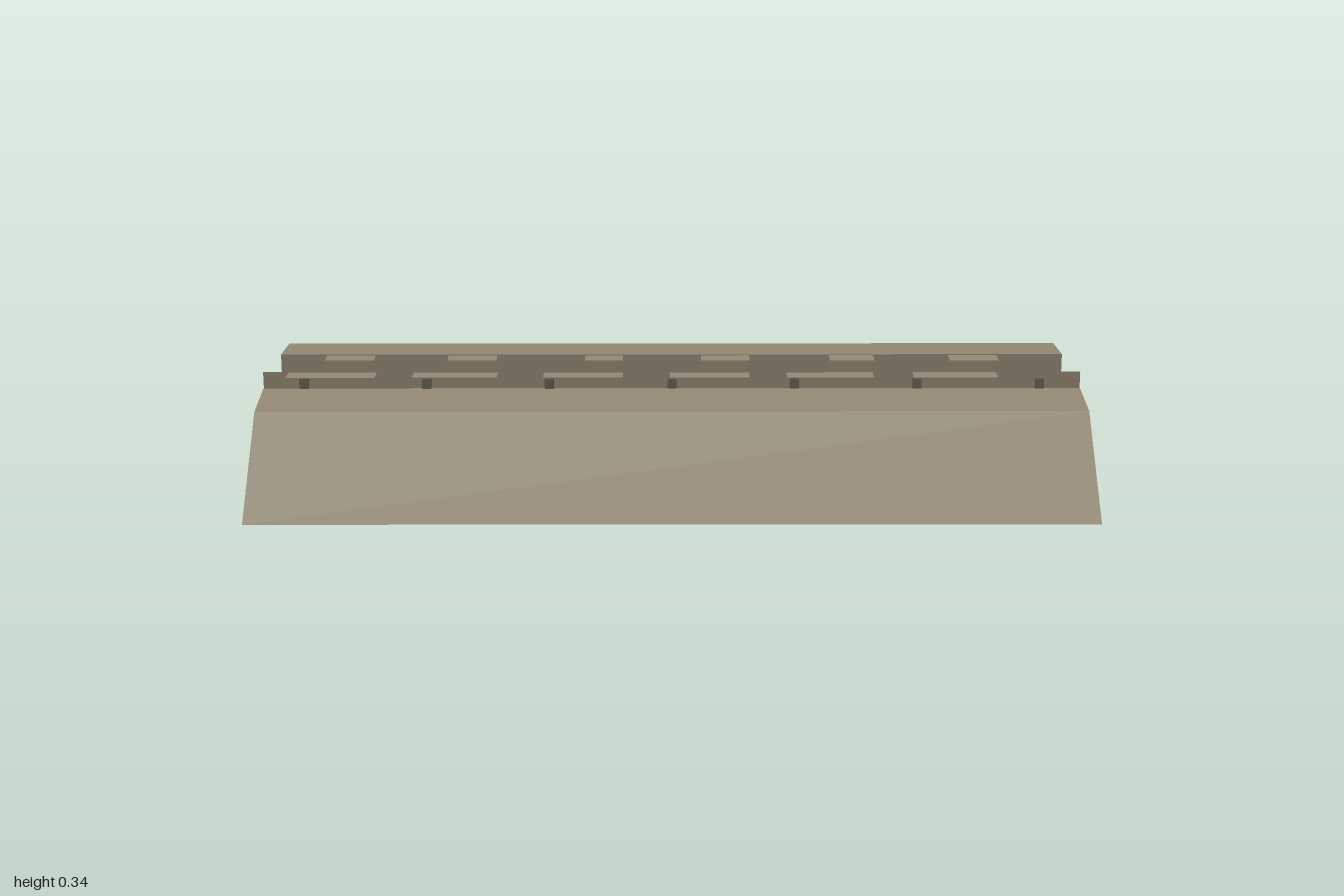
import * as THREE from 'three';

const earth = new THREE.MeshStandardMaterial({ color: 0x948a74, side: THREE.DoubleSide });
earth.name = 'earth';
const wood = new THREE.MeshStandardMaterial({ color: 0x696252 });
wood.name = 'dark wood';

const LENGTH = 2;

export function createModel() {
  const model = new THREE.Group();
  model.name = 'trench';

  const add = (geometry, material, name, x = 0, y = 0, z = 0) => {
    const mesh = new THREE.Mesh(geometry, material);
    mesh.name = name;
    mesh.position.set(x, y, z);
    model.add(mesh);
    return mesh;
  };

  // Flat horizontal sheet spanning x0..x1 and z0..z1
  const sheet = (name, x0, x1, z0, z1, y) => add(
    new THREE.PlaneGeometry(x1 - x0, z1 - z0).rotateX(-Math.PI / 2),
    earth, name, (x0 + x1) / 2, y, (z0 + z1) / 2);

  // Earth banks: one cross-section run along x, mirrored front to back
  const profile = [[0.15, 0.027], [0.55, 0.027], [0.3, 0.225], [0.15, 0.238]];
  for (const side of [1, -1]) {
    const shape = new THREE.Shape(profile.map(([z, y]) => new THREE.Vector2(-side * z, y)));
    const bank = new THREE.ExtrudeGeometry(shape, { depth: LENGTH, bevelEnabled: false });
    bank.translate(0, 0, -LENGTH / 2).rotateY(Math.PI / 2);
    add(bank, earth, side > 0 ? 'frontBank' : 'backBank');
  }

  // Trench floor
  sheet('floor', -1, 1, -0.14, 0.133, 0.025);

  // Plank revetment along the front wall
  const planks = 4, bottom = 0.03, top = 0.278, gap = 0.003;
  const pitch = (top - bottom + gap) / planks;
  for (let i = 0; i < planks; i++) {
    add(new THREE.PlaneGeometry(LENGTH, pitch - gap), earth, 'wallPlank',
      0, bottom + i * pitch + (pitch - gap) / 2, 0.144);
  }

  // Posts holding the planks
  for (let i = -3; i <= 3; i++) {
    add(new THREE.BoxGeometry(0.022, 0.263, 0.023), wood, 'post', i * 0.3, 0.1315, 0.1425);
  }

  // Parapet slabs: a long lower one with a short upper one over its right part
  const slabs = [
    [-0.93, -0.834, -0.716], [-0.626, -0.54, -0.422], [-0.31, -0.209, -0.118],
    [-0.005, 0.07, 0.187], [0.278, 0.38, 0.487], [0.583, 0.668, 0.786],
  ];
  for (const [start, split, end] of slabs) {
    sheet('lowerSlab', start, end, 0.2, 0.245, 0.293);
    sheet('upperSlab', split, end, 0.2, 0.245, 0.336);
  }

  return model;
}
